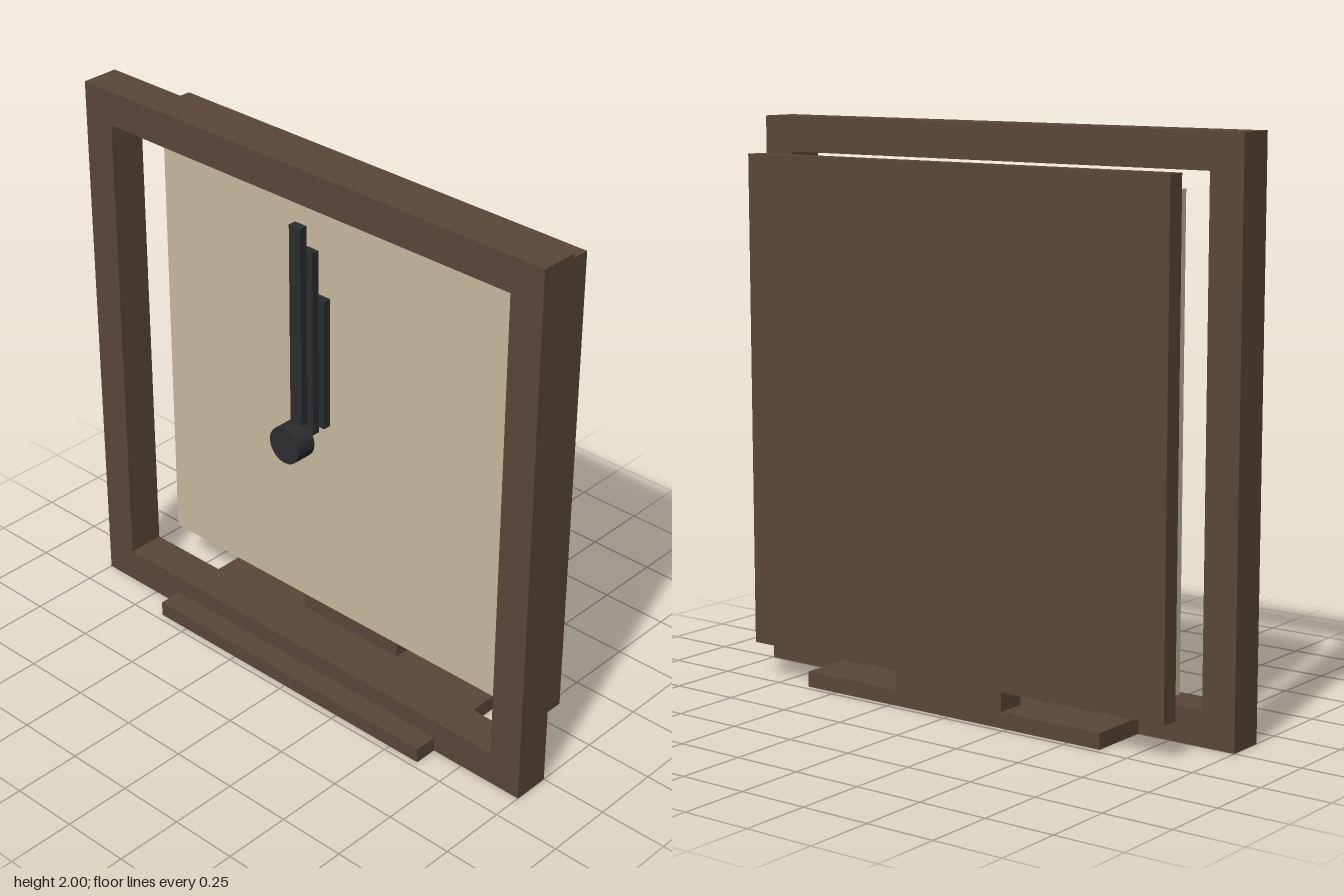
import * as THREE from 'three';

export function createModel() {
  const model = new THREE.Group();
  const mat = (name, color) => {
    const m = new THREE.MeshStandardMaterial({ color });
    m.name = name;
    return m;
  };
  const wood = mat('dark brown wood', 0x5a4638);
  const cream = mat('cream', 0xc8b99c);
  const black = mat('charcoal', 0x2a2c2e);

  const add = (name, geometry, material) => {
    const mesh = new THREE.Mesh(geometry, material);
    mesh.name = name;
    model.add(mesh);
    return mesh;
  };
  // Box given by its extents, centred on x = 0
  const box = (name, material, halfX, y0, y1, z0, z1) => {
    const mesh = add(name, new THREE.BoxGeometry(halfX * 2, y1 - y0, z1 - z0), material);
    mesh.position.set(0, (y0 + y1) / 2, (z0 + z1) / 2);
    return mesh;
  };
  const square = (target, h) => {
    target.moveTo(-h, 1 - h);
    target.lineTo(h, 1 - h);
    target.lineTo(h, 1 + h);
    target.lineTo(-h, 1 + h);
    target.closePath();
    return target;
  };

  // Open square frame
  const outline = square(new THREE.Shape(), 1);
  outline.holes.push(square(new THREE.Path(), 0.875));
  add('frame', new THREE.ExtrudeGeometry(outline, { depth: 0.138, bevelEnabled: false }), wood);

  // Dial and back panel floating behind the frame
  box('dial', cream, 0.82, 0.18, 1.82, -0.117, -0.05);
  box('backPanel', wood, 0.877, 0.125, 1.878, -0.23, -0.163);

  // Foot and the block that carries the panel
  box('foot', wood, 0.628, 0, 0.056, -0.228, 0.225);
  box('panelSupport', wood, 0.227, 0.056, 0.142, -0.228, -0.117);

  // Three stacked hands, longest at the front
  [[1.8, 0.126], [1.69, 0.07], [1.49, 0.015]].forEach(([top, z], i) => {
    box(['secondHand', 'minuteHand', 'hourHand'][i], black, 0.025, 1, top, z, z + 0.03);
  });

  // Hub in front of the hands
  const hub = add('hub', new THREE.CylinderGeometry(0.068, 0.068, 0.075, 24), black);
  hub.rotation.x = Math.PI / 2;
  hub.position.set(0, 1, 0.175);

  return model;
}
